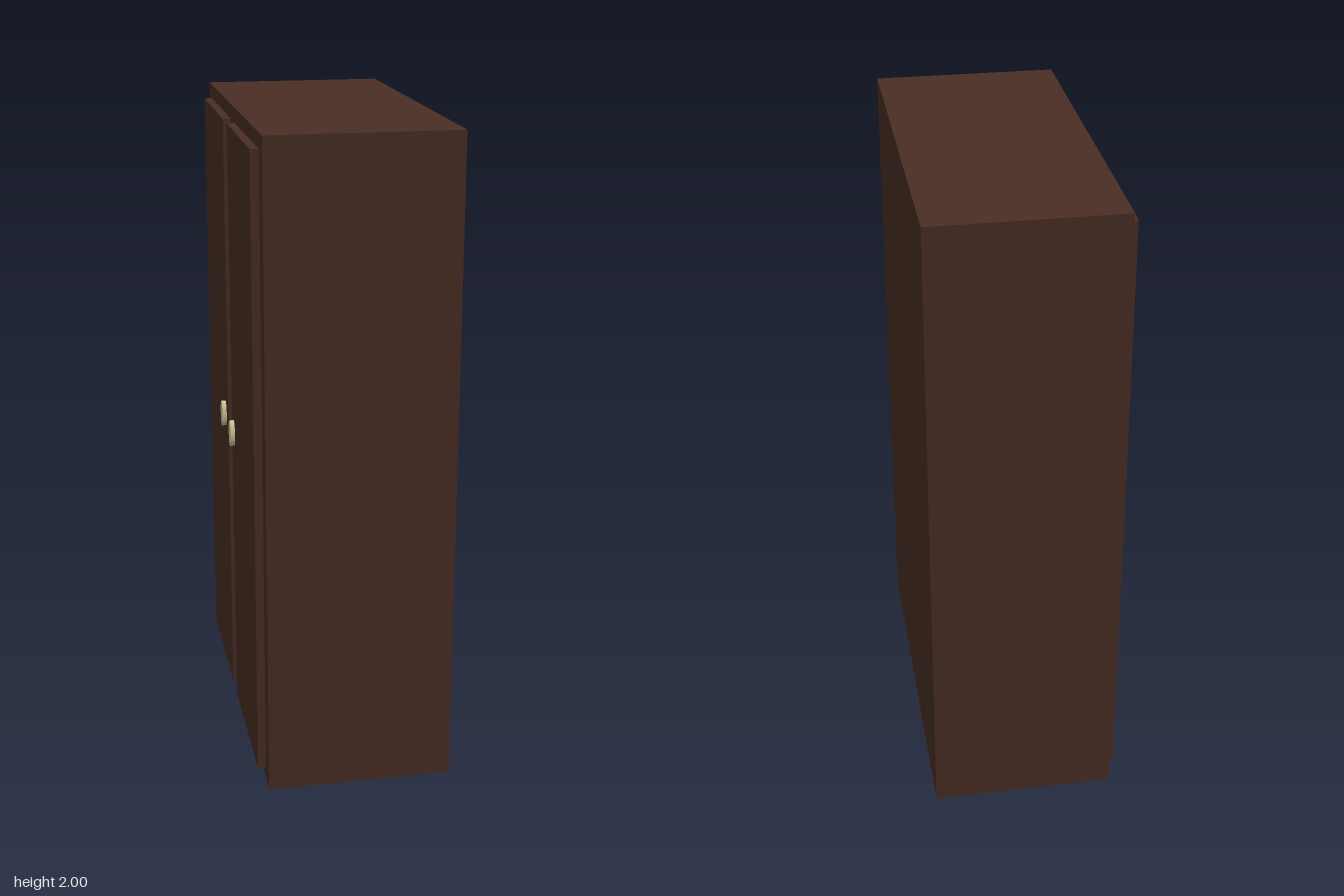
import * as THREE from 'three';

export function createModel() {
  const wood = new THREE.MeshStandardMaterial({ color: 0x4a2e24 });
  wood.name = 'dark brown wood';
  const brass = new THREE.MeshStandardMaterial({ color: 0xcdc496 });
  brass.name = 'pale brass';

  const wardrobe = new THREE.Group();
  wardrobe.name = 'wardrobe';

  const add = (name, geometry, material, x, y, z) => {
    const mesh = new THREE.Mesh(geometry, material);
    mesh.name = name;
    mesh.position.set(x, y, z);
    wardrobe.add(mesh);
    return mesh;
  };

  // Cabinet body; the doors are on its -x side
  add('cabinet', new THREE.BoxGeometry(0.568, 2, 1.186), wood, 0.019, 1, 0);

  // Oval knob lying along x, wider in y than in z
  const knobGeometry = new THREE.CylinderGeometry(1, 1, 0.018, 32)
    .rotateZ(Math.PI / 2)
    .scale(1, 0.042, 0.025);

  // Two doors, each with a knob near the middle gap
  const doors = [
    { side: 'back', z: -0.294, knobZ: -0.116 },
    { side: 'front', z: 0.288, knobZ: 0.088 },
  ];
  for (const { side, z, knobZ } of doors) {
    add(side + 'Door', new THREE.BoxGeometry(0.026, 1.915, 0.487), wood, -0.277, 0.997, z);
    add(side + 'Knob', knobGeometry, brass, -0.295, 0.987, knobZ);
  }

  return wardrobe;
}
